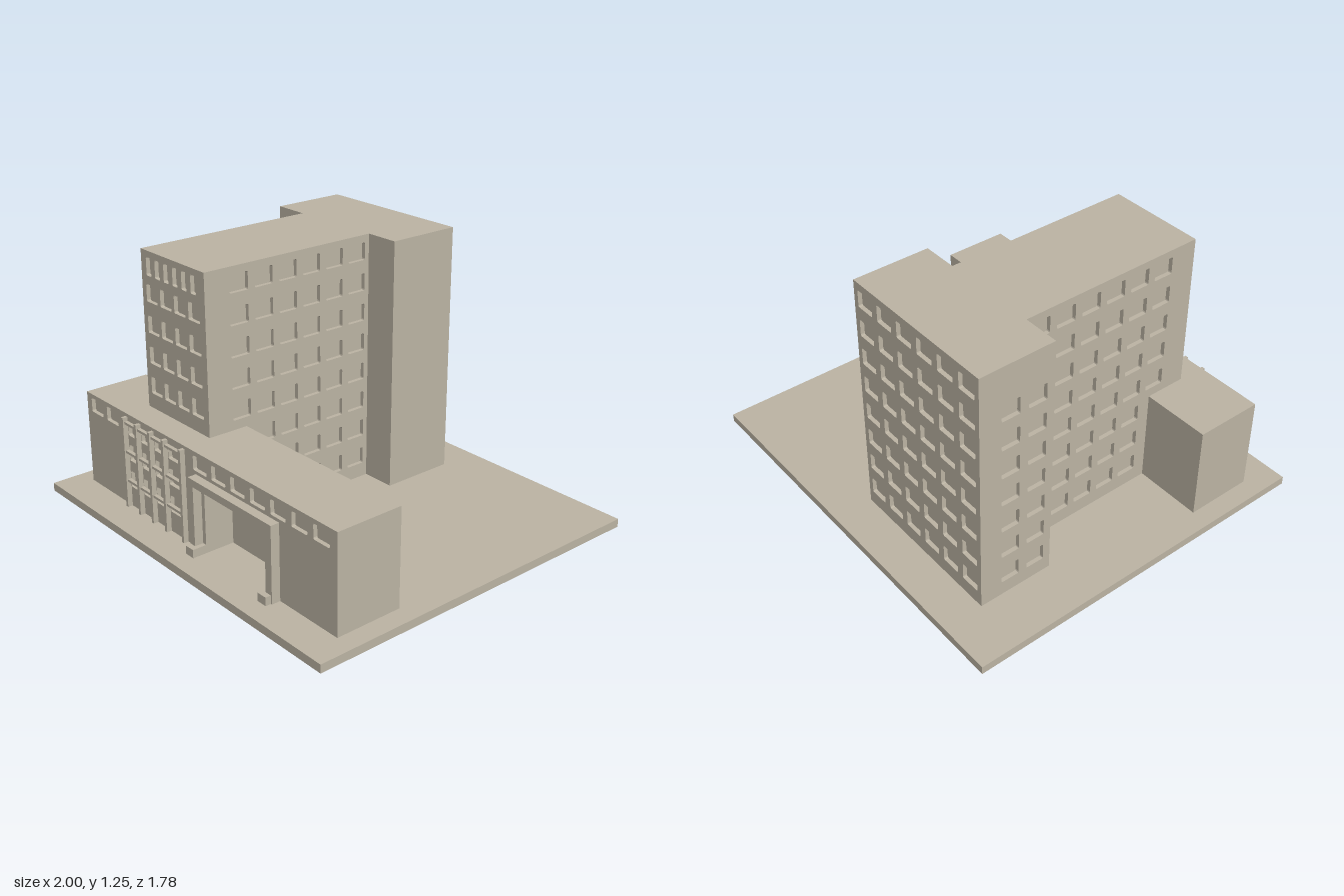
import * as THREE from 'three';

const D = 0.02; // window recess depth
const GROUND = 0.04, ROOF = 1.255, PODIUM = 0.505;

export function createModel() {
  const model = new THREE.Group();
  model.name = 'officeBuilding';
  const stone = new THREE.MeshStandardMaterial({ color: 0xbcb4a4 });
  stone.name = 'stone';

  // box given by its two extreme corners
  function box(name, x0, x1, y0, y1, z0, z1) {
    const mesh = new THREE.Mesh(new THREE.BoxGeometry(x1 - x0, y1 - y0, z1 - z0), stone);
    mesh.position.set((x0 + x1) / 2, (y0 + y1) / 2, (z0 + z1) / 2);
    mesh.name = name;
    model.add(mesh);
  }

  // window opening with slightly rounded corners
  function opening([x, y, w, h]) {
    const r = 0.007, p = new THREE.Path();
    p.moveTo(x + r, y);
    p.lineTo(x + w - r, y);
    p.quadraticCurveTo(x + w, y, x + w, y + r);
    p.lineTo(x + w, y + h - r);
    p.quadraticCurveTo(x + w, y + h, x + w - r, y + h);
    p.lineTo(x + r, y + h);
    p.quadraticCurveTo(x, y + h, x, y + h - r);
    p.lineTo(x, y + r);
    p.quadraticCurveTo(x, y, x + r, y);
    return p;
  }

  // pierced wall: outline along the wall, outer face at distance `out`, turned by `turn`
  function wall(name, outline, windows, out, turn) {
    const shape = new THREE.Shape(outline.map(([x, y]) => new THREE.Vector2(x, y)));
    shape.holes = windows.map(opening);
    const geo = new THREE.ExtrudeGeometry(shape, { depth: D, bevelEnabled: false, curveSegments: 2 });
    geo.translate(0, 0, out - D).rotateY(turn);
    const mesh = new THREE.Mesh(geo, stone);
    mesh.name = name;
    model.add(mesh);
  }
  const rect = (x0, x1, y0, y1) => [[x0, y0], [x1, y0], [x1, y1], [x0, y1]];

  // regular grid of windows
  function grid(x, y, w, h, cols, rows, dx, dy) {
    const list = [];
    for (let i = 0; i < cols; i++)
      for (let j = 0; j < rows; j++) list.push([x + i * dx, y + j * dy, w, h]);
    return list;
  }

  box('basePlate', -1, 1, 0, GROUND, -0.89, 0.89);

  // rear tower wing
  box('rearWing', -0.745 + D, 0.075, GROUND, ROOF, -0.695 + D, -0.325);
  wall('rearWall', rect(-0.075, 0.745, GROUND, ROOF),
    grid(-0.049, 0.11, 0.098, 0.083, 6, 8, 0.134, 0.1465), 0.695, Math.PI);
  wall('rearWingSideWall', rect(-0.695 + D, -0.325, GROUND, ROOF),
    grid(-0.587, 0.11, 0.092, 0.083, 2, 7, 0.134, 0.1465), 0.745, -Math.PI / 2);

  // tower stem with windows on three sides
  box('towerCore', -0.57 + D, -0.095 - D, GROUND, ROOF, -0.325, 0.595 - D);
  wall('towerFrontWall', rect(-0.57, -0.095, GROUND, ROOF), [
    ...grid(-0.54, 0.577, 0.085, 0.082, 4, 4, 0.107, 0.147),
    ...grid(-0.532, 1.14, 0.038, 0.085, 6, 1, 0.0674, 0),
  ], 0.595, 0);
  const sideWindows = grid(-0.301, 0.11, 0.098, 0.083, 6, 8, 0.1338, 0.1465)
    .filter(([z, y]) => z < 0.3 || y > 0.5);
  wall('towerLeftWall', rect(-0.595 + D, 0.325, GROUND, ROOF),
    sideWindows.map(([z, y, w, h]) => [-z - w, y, w, h]), -0.095, Math.PI / 2);
  wall('towerRightWall', rect(-0.325, 0.595 - D, GROUND, ROOF), sideWindows, 0.57, -Math.PI / 2);
  // the left wall lies on the negative side of the centre line, so it keeps its signed distance

  // podium around the deep entrance recess
  const eL = 0.035, eR = 0.487, eTop = 0.365, pz = 0.725 - D;
  box('podiumRight', -0.905, eL, GROUND, PODIUM, 0.395, pz);
  box('podiumLeft', eR, 0.905, GROUND, PODIUM, 0.395, pz);
  box('podiumLintel', eL, eR, eTop, PODIUM, 0.395, pz);
  box('entranceBackWall', eL, eR, GROUND, eTop, 0.395, 0.58);

  // podium front wall with clerestory and facade windows
  const columns = [-0.562, -0.455, -0.348, -0.24, -0.108];
  const facade = [];
  columns.slice(0, 4).forEach((x, i) => {
    const w = columns[i + 1] - x - 0.022;
    for (const y of [0.139, 0.273, 0.4]) facade.push([x + 0.011, y, w, y < 0.4 ? 0.081 : 0.06]);
  });
  wall('podiumFrontWall', [
    [-0.905, GROUND], [eL, GROUND], [eL, eTop], [eR, eTop], [eR, GROUND],
    [0.905, GROUND], [0.905, PODIUM], [-0.905, PODIUM],
  ], [
    ...grid(-0.866, 0.415, 0.098, 0.07, 2, 1, 0.1337, 0),
    ...grid(-0.04, 0.415, 0.098, 0.07, 7, 1, 0.1337, 0),
    ...facade,
  ], 0.725, 0);

  // facade columns and thin ledges
  columns.forEach(x => box('facadeColumn', x - 0.008, x + 0.008, GROUND, 0.49, 0.725, 0.75));
  for (const y of [0.175, 0.321, 0.465])
    box('facadeLedge', columns[0], columns[4], y - 0.006, y + 0.006, 0.725, 0.743);

  // entrance portal
  box('portalPost', -0.022, 0.013, GROUND, 0.4, 0.725, 0.768);
  box('portalPost', 0.51, 0.55, GROUND, 0.4, 0.725, 0.768);
  box('portalBeam', 0.013, 0.51, eTop, 0.4, 0.725, 0.768);
  for (const x of [-0.019, 0.489]) box('portalFoot', x, x + 0.054, GROUND, 0.08, 0.725, 0.795);

  return model;
}
